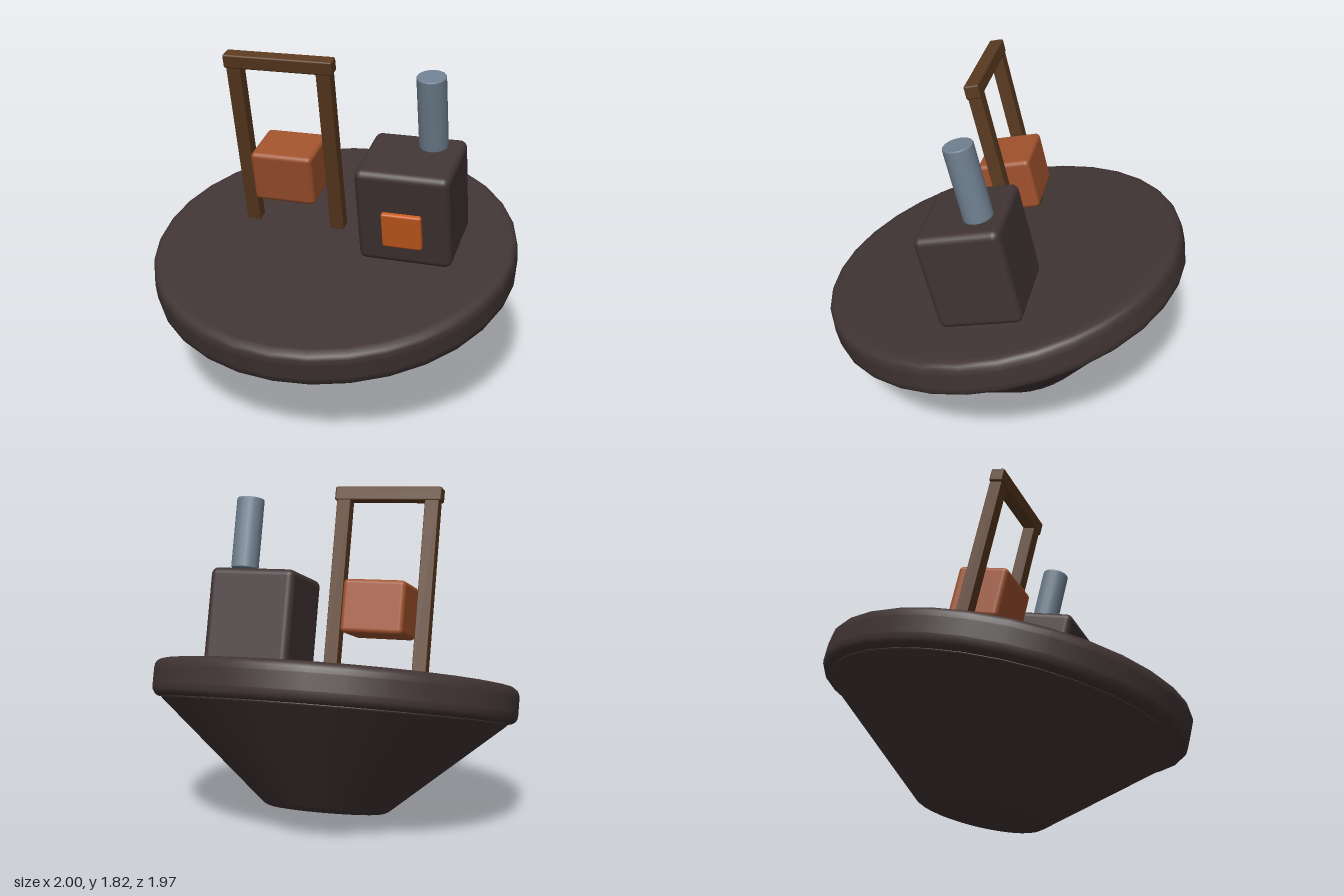
import * as THREE from 'three';
import { RoundedBoxGeometry } from 'three/addons/geometries/RoundedBoxGeometry.js';

const TILT = THREE.MathUtils.degToRad(14);

function material(name, color) {
  const m = new THREE.MeshStandardMaterial({ color });
  m.name = name;
  return m;
}

// Lathe of a closed bottom-to-top outline whose corners [radius, y, bevel] are rounded
function roundedLathe(corners, sides) {
  const pts = [new THREE.Vector2(0, corners[0][1])];
  const v = corners.map(([r, y]) => new THREE.Vector2(r, y));
  corners.forEach(([, y, bevel], i) => {
    const prev = i > 0 ? v[i - 1] : new THREE.Vector2(0, y);
    const next = i < v.length - 1 ? v[i + 1] : new THREE.Vector2(0, y);
    const toPrev = prev.clone().sub(v[i]).normalize();
    const toNext = next.clone().sub(v[i]).normalize();
    const a = v[i].clone().addScaledVector(toPrev, bevel);
    const b = v[i].clone().addScaledVector(toNext, bevel);
    // a support point on each side keeps the flat areas flat
    pts.push(a.clone().addScaledVector(toPrev, 0.004));
    pts.push(...new THREE.QuadraticBezierCurve(a, v[i], b).getPoints(4));
    pts.push(b.clone().addScaledVector(toNext, 0.004));
  });
  pts.push(new THREE.Vector2(0, corners[corners.length - 1][1]));
  return new THREE.LatheGeometry(pts, sides);
}

export function createModel() {
  const dark = material('dark brown', 0x413434);
  const wood = material('wood brown', 0x5a3a20);
  const sienna = material('sienna', 0xa0522d);
  const orange = material('orange', 0xc85c1e);
  const steel = material('slate grey', 0x708090);

  const model = new THREE.Group();
  model.name = 'tiltedPlatform';
  const tilted = new THREE.Group();
  tilted.name = 'tiltedAssembly';
  tilted.rotation.x = TILT;
  model.add(tilted);

  const add = (name, geometry, mat, x, y, z) => {
    const mesh = new THREE.Mesh(geometry, mat);
    mesh.name = name;
    mesh.position.set(x, y, z);
    tilted.add(mesh);
    return mesh;
  };
  const box = (name, mat, [w, h, d], [x, y, z], bevel) =>
    add(name, new RoundedBoxGeometry(w, h, d, 3, bevel), mat, x, y, z);

  // Round platform and the cone below it
  add('platform', roundedLathe([[1, 0.58, 0.055], [1, 0.78, 0.055]], 32), dark, 0, 0, -0.169);
  add('coneBase', roundedLathe([[0.325, 0.04, 0.035], [0.955, 0.582, 0.018]], 32), dark, 0, 0, -0.169);

  // Furnace with its glowing door and chimney
  box('furnace', dark, [0.5, 0.54, 0.445], [0.45, 1.053, -0.22], 0.04);
  box('furnaceDoor', orange, [0.212, 0.2, 0.05], [0.449, 1.003, 0.004], 0.012);
  add('chimney', roundedLathe([[0.077, 0, 0.008], [0.077, 0.4, 0.008]], 16), steel, 0.547, 1.333, -0.316);

  // Wooden frame
  for (const [name, x] of [['rightPost', -0.5], ['leftPost', -0.003]]) {
    box(name, wood, [0.077, 0.965, 0.07], [x, 1.27, -0.272], 0.004);
  }
  box('crossbeam', wood, [0.6, 0.076, 0.078], [-0.251, 1.768, -0.271], 0.01);

  // Block hanging inside the frame
  box('hangingBlock', sienna, [0.345, 0.29, 0.29], [-0.252, 1.137, -0.279], 0.026);

  return model;
}
